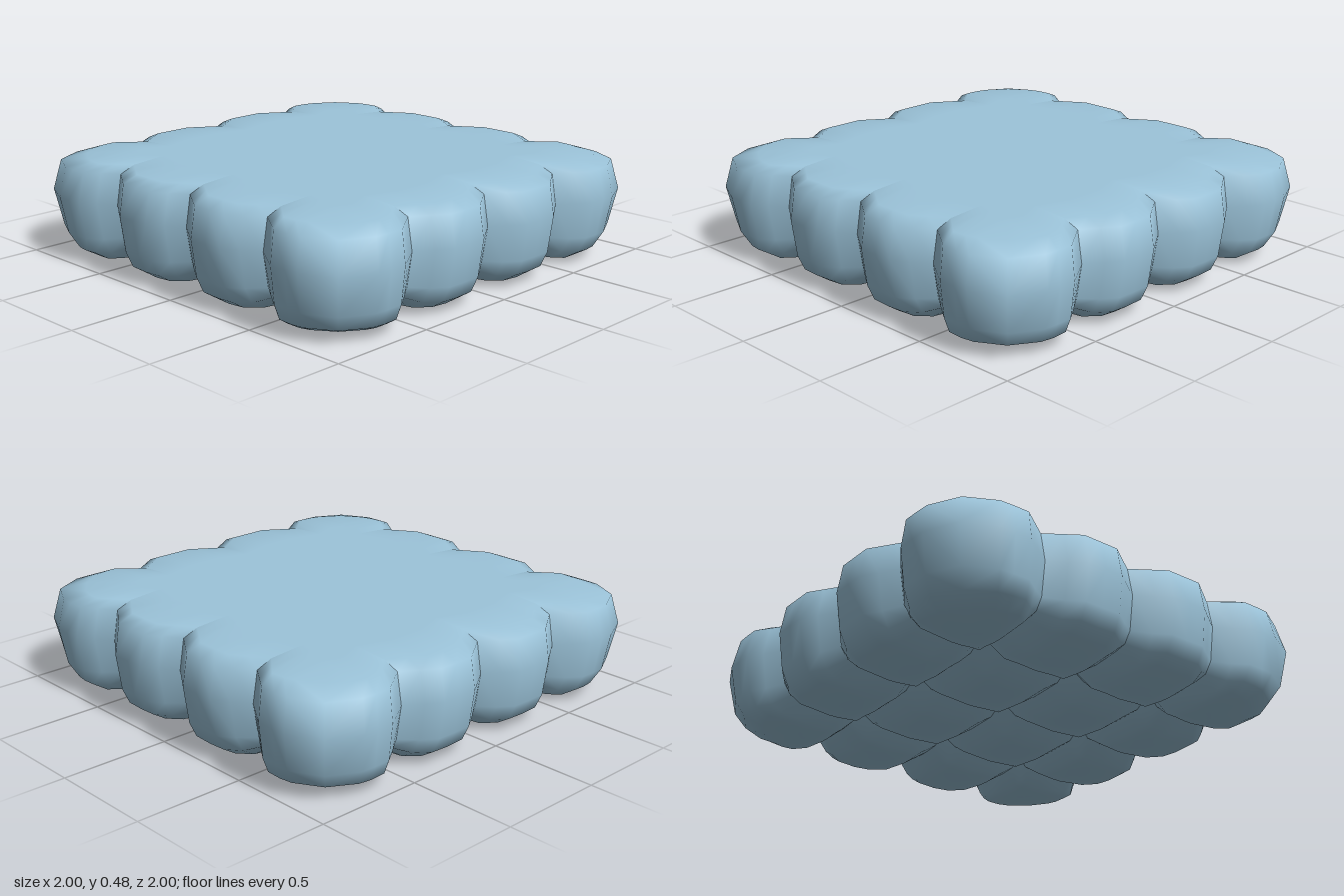
import * as THREE from 'three';
import { mergeVertices } from 'three/addons/utils/BufferGeometryUtils.js';

const SEAM = 0.48;
// Lattice lines of the inner and outer puffs, in one quadrant
const LINES = [
  [0, 0.08, 0.15, 0.24, 0.33, 0.4, SEAM],
  [SEAM, 0.56, 0.63, 0.71, 0.78, 1],
];
// Side profile from top to bottom: inset, height, share of the underside seam rise
const PROFILE = [
  [0.1, 0.47, 0], [0.025, 0.44, 0], [0, 0.3, 0],
  [0.025, 0.13, 0.2], [0.06, 0.055, 0.6], [0.12, 0.015, 1],
];

const seamDistance = (t) => Math.min(t, Math.abs(t - SEAM));
const sideGroove = (t) => Math.max(0, 1 - seamDistance(t) / 0.15);
function underGroove(t) {
  const d = seamDistance(t);
  if (d < 0.08) return 1 - 0.83 * d / 0.08;
  return Math.max(0, 0.17 * (0.24 - d) / 0.16);
}

// Places a lattice point on a rounded square, pinched at the seams
function place(u, v, inset, y, rise) {
  const edge = 1 - inset;
  const fit = (t) => (t <= SEAM ? t : SEAM + (t - SEAM) * (edge - SEAM) / (1 - SEAM));
  const fade = (t) => Math.max(0, (t - SEAM) / (1 - SEAM));
  let x = fit(u), z = fit(v);
  const core = edge - (0.24 + 0.5 * inset);
  const dx = Math.max(x - core, 0), dz = Math.max(z - core, 0);
  if (dx > 0 && dz > 0) {
    const m = Math.max(dx, dz) / Math.hypot(dx, dz);
    x = core + dx * m;
    z = core + dz * m;
  }
  x -= 0.1 * sideGroove(v) * fade(u);
  z -= 0.1 * sideGroove(u) * fade(v);
  return [x, y + rise * 0.065 * (underGroove(u) + underGroove(v)), z];
}

// Adds a patch of quads from a point function
function addPatch(out, columns, rows, point, flip) {
  for (let i = 0; i < columns.length - 1; i++) {
    for (let j = 0; j < rows.length - 1; j++) {
      const a = point(columns[i], rows[j]), b = point(columns[i], rows[j + 1]);
      const c = point(columns[i + 1], rows[j + 1]), d = point(columns[i + 1], rows[j]);
      for (const p of flip ? [a, c, b, a, d, c] : [a, b, c, a, c, d]) out.push(...p);
    }
  }
}

// One puff: top, underside and any outer walls, smooth within itself
function puffGeometry(cx, cz) {
  const out = [], us = LINES[cx], vs = LINES[cz];
  const border = (u, v) => u === 1 || v === 1;
  addPatch(out, us, vs, (u, v) => place(u, v, 0.1, border(u, v) ? 0.47 : 0.48, 0), false);
  addPatch(out, us, vs, (u, v) => place(u, v, 0.12, border(u, v) ? 0.015 : 0, 1), true);
  if (cz === 1) addPatch(out, us, PROFILE, (u, p) => place(u, 1, ...p), false);
  if (cx === 1) addPatch(out, vs, PROFILE, (v, p) => place(1, v, ...p), true);
  const raw = new THREE.BufferGeometry();
  raw.setAttribute('position', new THREE.Float32BufferAttribute(out, 3));
  const geometry = mergeVertices(raw, 1e-4);
  geometry.computeVertexNormals();
  return geometry;
}

export function createModel() {
  const model = new THREE.Group();
  model.name = 'tuftedCushion';
  const fabric = new THREE.MeshStandardMaterial({ color: 0x9cc4da });
  fabric.name = 'pale blue fabric';

  // Four puffs per quadrant, repeated around the middle
  const puffs = [
    ['innerPuff', 0, 0], ['frontPuff', 0, 1], ['sidePuff', 1, 0], ['cornerPuff', 1, 1],
  ].map(([name, cx, cz]) => [name, puffGeometry(cx, cz)]);
  for (let q = 0; q < 4; q++) {
    const quadrant = new THREE.Group();
    quadrant.name = `cushionQuarter${q + 1}`;
    quadrant.rotation.y = q * Math.PI / 2;
    for (const [name, geometry] of puffs) {
      const puff = new THREE.Mesh(geometry, fabric);
      puff.name = name;
      quadrant.add(puff);
    }
    model.add(quadrant);
  }
  return model;
}
